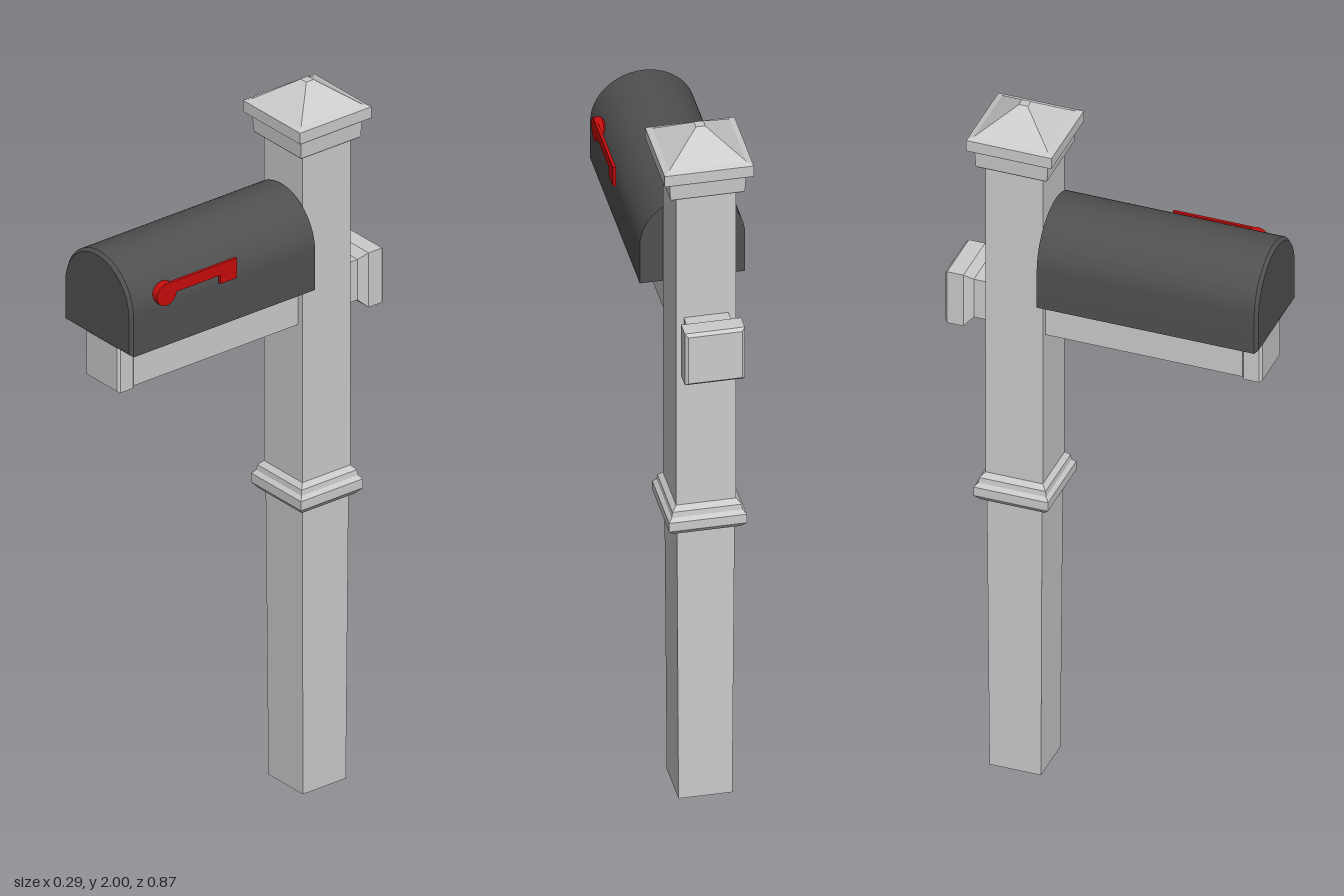
import * as THREE from 'three';
import { toCreasedNormals } from 'three/addons/utils/BufferGeometryUtils.js';

const grey = new THREE.MeshStandardMaterial({ color: 0xcccccc });
const dark = new THREE.MeshStandardMaterial({ color: 0x505050 });
const red = new THREE.MeshStandardMaterial({ color: 0xc80c0c });

const CX = -0.007;      // shared centre line of post, arm and box
const POST_Z = -0.248;
const ARM_Y = 1.41;

// Square-section turning: rows of [position along y, half width], closed at both ends
function squareTurning(rows) {
  const pts = rows.map(([y, h]) => new THREE.Vector2(h * Math.SQRT2, y));
  pts.unshift(new THREE.Vector2(0, rows[0][0]));
  pts.push(new THREE.Vector2(0, rows[rows.length - 1][0]));
  const geo = new THREE.LatheGeometry(pts, 4, Math.PI / 4).toNonIndexed();
  geo.computeVertexNormals();
  return geo;
}

// Arched mailbox outline: flat bottom, straight sides, half-round top
function archShape() {
  const r = 0.137, bottom = 1.479, spring = 1.591;
  const s = new THREE.Shape();
  s.moveTo(-r, bottom);
  s.lineTo(r, bottom);
  s.lineTo(r, spring);
  s.absarc(0, spring, r, 0, Math.PI, false);
  s.closePath();
  return s;
}

export function createModel() {
  const model = new THREE.Group();
  model.name = 'mailboxOnPost';

  function add(name, geo, mat, x = 0, y = 0, z = 0, parent = model) {
    const mesh = new THREE.Mesh(geo, mat);
    mesh.name = name;
    mesh.position.set(x, y, z);
    parent.add(mesh);
    return mesh;
  }

  // Post in two lengths, with a moulded collar between them
  add('lowerPost', squareTurning([[0, 0.07], [0.83, 0.075]]), grey, CX, 0, POST_Z);
  add('upperPost', squareTurning([[0.83, 0.078], [1.86, 0.078]]), grey, CX, 0, POST_Z);
  add('postCollar', squareTurning([
    [0.82, 0.088], [0.836, 0.101], [0.862, 0.101], [0.872, 0.092],
    [0.887, 0.09], [0.9, 0.078],
  ]), grey, CX, 0, POST_Z);

  // Stepped cap with a blunt pyramid
  add('postCap', squareTurning([
    [1.84, 0.094], [1.845, 0.097], [1.885, 0.099], [1.893, 0.103],
    [1.898, 0.116], [1.93, 0.116], [1.936, 0.1], [1.995, 0.018], [2.0, 0.012],
  ]), grey, CX, 0, POST_Z);

  // Support arm, its front end block and the knob behind the post
  add('supportArm', new THREE.BoxGeometry(0.12, 0.122, 0.56), grey, CX, 1.407, 0.1);
  add('armEndBlock', squareTurning([
    [0.366, 0.06], [0.372, 0.067], [0.414, 0.067], [0.421, 0.062],
  ]).rotateX(Math.PI / 2), grey, CX, ARM_Y + 0.001, 0);
  add('armRearKnob', squareTurning([
    [0.3, 0.058], [0.365, 0.058], [0.386, 0.078], [0.43, 0.078], [0.438, 0.07],
  ]).rotateX(-Math.PI / 2), grey, CX, ARM_Y, 0);

  // Mailbox body with a bevelled door closing the front
  const box = new THREE.Group();
  box.name = 'mailbox';
  box.position.x = CX;
  model.add(box);
  const body = new THREE.ExtrudeGeometry(archShape(), {
    depth: 0.589, bevelEnabled: false, curveSegments: 32,
  });
  add('mailboxBody', toCreasedNormals(body, 0.5), dark, 0, 0, -0.164, box);
  const door = new THREE.ExtrudeGeometry(archShape(), {
    depth: 0.002, curveSegments: 32,
    bevelThickness: 0.009, bevelSize: 0.008, bevelOffset: -0.008, bevelSegments: 1,
  });
  add('mailboxDoor', toCreasedNormals(door, 0.5), dark, 0, 0, 0.425, box);

  // Flag on the left side, drawn as (-z, y) and turned to face +x
  const flag = new THREE.Group();
  flag.name = 'flag';
  model.add(flag);
  const outline = new THREE.Shape([
    [-0.33, 1.662], [-0.1, 1.662], [-0.1, 1.605], [-0.153, 1.605],
    [-0.153, 1.63], [-0.33, 1.63],
  ].map(([u, v]) => new THREE.Vector2(u, v)));
  const arm = new THREE.ExtrudeGeometry(outline, { depth: 0.008, bevelEnabled: false });
  add('flagArm', arm.rotateY(Math.PI / 2), red, 0.134, 0, 0, flag);
  const pivot = squarelessPivot();
  add('flagPivot', pivot, red, 0.114, 1.632, 0.328, flag);

  return model;
}

// Round pivot with a chamfered inner edge, axis along +x
function squarelessPivot() {
  const pts = [[0, 0], [0.022, 0], [0.032, 0.008], [0.032, 0.028], [0, 0.028]]
    .map(([r, y]) => new THREE.Vector2(r, y));
  const geo = new THREE.LatheGeometry(pts, 16).rotateZ(-Math.PI / 2);
  return toCreasedNormals(geo, 0.5);
}
